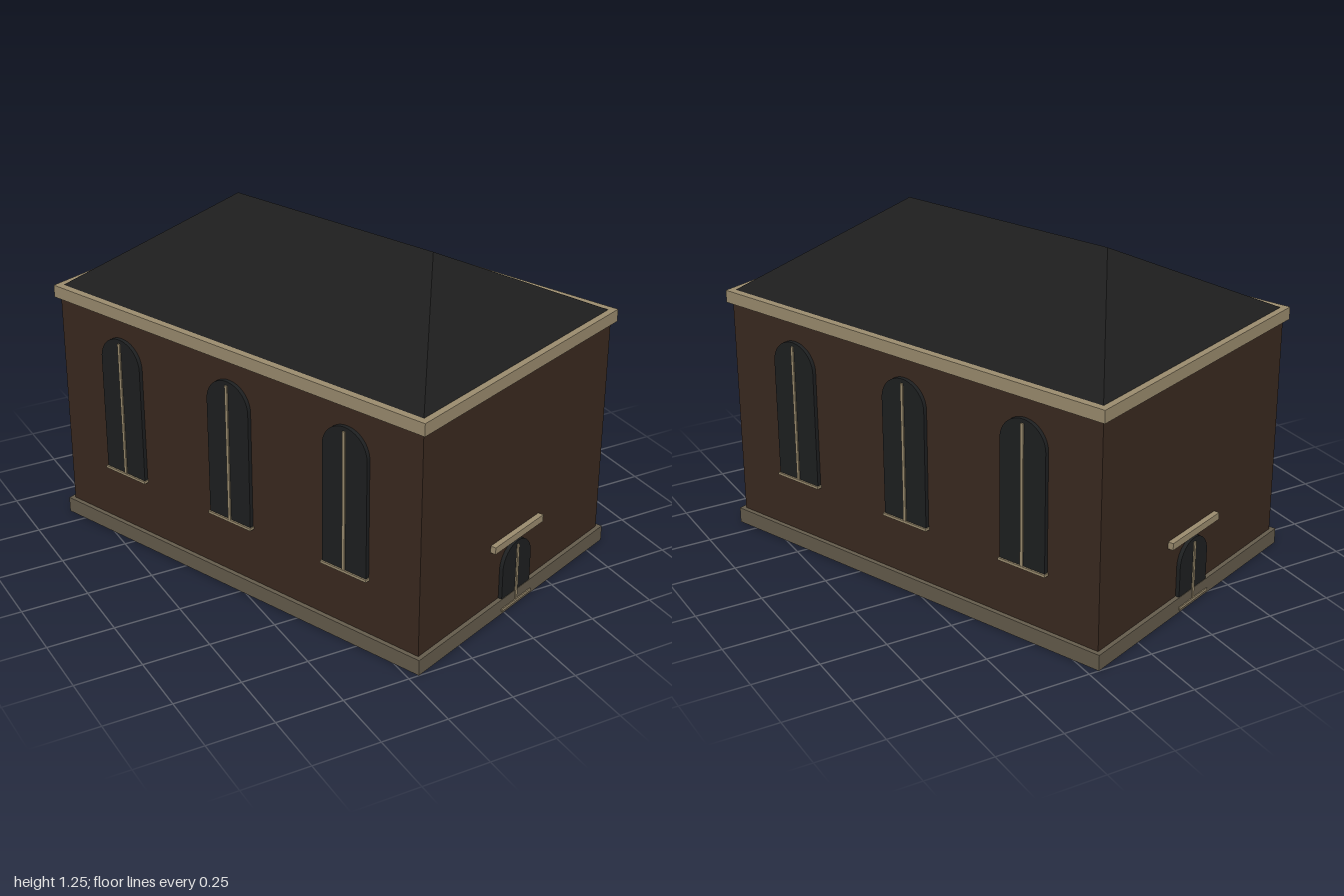
import * as THREE from 'three';

const mat = (name, color) => {
  const m = new THREE.MeshStandardMaterial({ color });
  m.name = name;
  return m;
};

export function createModel() {
  const brick = mat('brownBrick', 0x3b2a20);
  const stone = mat('paleStone', 0x9d8e70);
  const plinthStone = mat('plinthStone', 0x665d4d);
  const slate = mat('darkSlate', 0x1d1d1d);
  const glass = mat('darkGlass', 0x1e2021);

  const house = new THREE.Group();
  house.name = 'house';

  const add = (parent, name, geometry, material, x = 0, y = 0, z = 0) => {
    const mesh = new THREE.Mesh(geometry, material);
    mesh.name = name;
    mesh.position.set(x, y, z);
    parent.add(mesh);
    return mesh;
  };
  // Box standing on y0, up to y1
  const slab = (parent, name, material, w, d, y0, y1, z = 0) =>
    add(parent, name, new THREE.BoxGeometry(w, y1 - y0, d), material, 0, (y0 + y1) / 2, z);
  // Counter-clockwise rectangle centred on the origin
  const rectangle = (Type, hw, hl) => new Type(
    [[-hw, -hl], [hw, -hl], [hw, hl], [-hw, hl]].map(([x, y]) => new THREE.Vector2(x, y)));

  const HW = 0.55, HL = 0.833; // half width and half length of the walls
  const OW = 0.567, OL = 0.85; // half width and half length of plinth and cornice

  // Walls reach the ground, with the plinth as a band around their foot
  slab(house, 'walls', brick, HW * 2, HL * 2, 0, 0.907);
  const band = rectangle(THREE.Shape, OW, OL);
  band.holes.push(rectangle(THREE.Path, HW, HL));
  const plinth = new THREE.ExtrudeGeometry(band, { depth: 0.06, bevelEnabled: false });
  plinth.rotateX(-Math.PI / 2);
  add(house, 'plinth', plinth, plinthStone);
  slab(house, 'cornice', stone, OW * 2, OL * 2, 0.907, 0.954);

  // Hipped roof: eaves rectangle rising to a ridge along z
  const ex = 0.541, ez = 0.825, ridge = 0.447, y0 = 0.954, y1 = 1.247;
  const [a, b, c, d] = [[-ex, y0, ez], [ex, y0, ez], [ex, y0, -ez], [-ex, y0, -ez]];
  const f = [0, y1, ridge], r = [0, y1, -ridge];
  const roof = new THREE.BufferGeometry();
  roof.setAttribute('position', new THREE.Float32BufferAttribute(
    [a, b, f, b, c, r, b, r, f, c, d, r, d, a, f, d, f, r].flat(), 3));
  roof.computeVertexNormals();
  add(house, 'hippedRoof', roof, slate);

  // Round-headed opening with a pane, centre bar and sill, facing +z
  const archedOpening = (name, w, bottom, top) => {
    const g = new THREE.Group();
    g.name = name;
    const rad = w / 2;
    const shape = new THREE.Shape();
    shape.moveTo(-rad, bottom);
    shape.lineTo(rad, bottom);
    shape.lineTo(rad, top - rad);
    shape.absarc(0, top - rad, rad, 0, Math.PI, false);
    shape.closePath();
    const pane = new THREE.ExtrudeGeometry(shape, { depth: 0.015, bevelEnabled: false, curveSegments: 16 });
    add(g, 'pane', pane, glass);
    slab(g, 'centreBar', stone, 0.011, 0.02, bottom, top - 0.015, 0.01);
    slab(g, 'sill', stone, w + 0.008, 0.021, bottom - 0.008, bottom + 0.002, 0.0105);
    return g;
  };

  // Three tall windows on each long side
  for (const side of [-1, 1]) {
    for (const z of [-0.522, 0, 0.522]) {
      const win = archedOpening('archedWindow', 0.192, 0.283, 0.83);
      win.position.set(side * HW, 0, z);
      win.rotation.y = side * Math.PI / 2;
      house.add(win);
    }
  }

  // One door with a stone hood on each end
  for (const end of [-1, 1]) {
    const door = archedOpening('archedDoor', 0.171, 0.02, 0.262);
    slab(door, 'doorHood', stone, 0.292, 0.021, 0.275, 0.302, 0.0105);
    door.position.z = end * HL;
    door.rotation.y = end > 0 ? 0 : Math.PI;
    house.add(door);
  }

  // The house stands turned on its plot
  house.rotation.y = 0.38;
  const model = new THREE.Group();
  model.name = 'building';
  model.add(house);
  return model;
}
